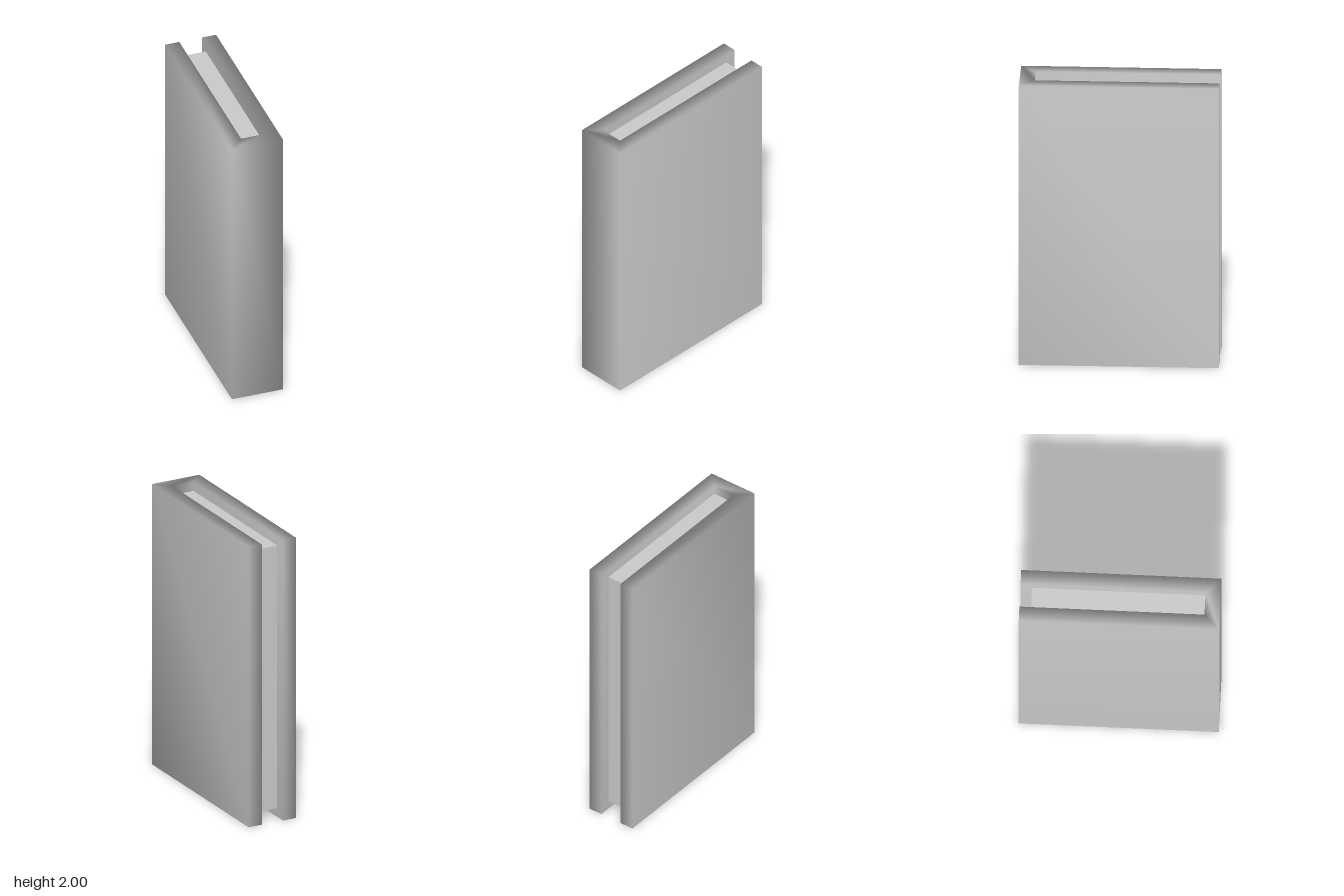
import * as THREE from 'three';
import { mergeVertices } from 'three/addons/utils/BufferGeometryUtils.js';

const W = 0.18, D = 0.667, H = 2;          // cover half width, half depth, height
const T = 0.1;                             // board thickness
const OVERHANG_Z = 0.077, OVERHANG_Y = 0.063;

export function createModel() {
  const book = new THREE.Group();
  book.name = 'book';
  const material = new THREE.MeshStandardMaterial({ color: 0xcccccc });

  // Cover: U-shaped section (two boards and a spine) swept up the height
  const inner = W - T;
  const section = new THREE.Shape([
    [-W, -D], [W, -D], [W, D], [inner, D],
    [inner, -D + T], [-inner, -D + T], [-inner, D], [-W, D],
  ].map(([x, y]) => new THREE.Vector2(x, y)));
  let coverGeometry = new THREE.ExtrudeGeometry(section, { depth: H, bevelEnabled: false });
  coverGeometry.rotateX(-Math.PI / 2);
  // Shared corners give the cover soft, area-weighted shading
  coverGeometry.deleteAttribute('normal');
  coverGeometry.deleteAttribute('uv');
  coverGeometry = mergeVertices(coverGeometry);
  coverGeometry.computeVertexNormals();
  const cover = new THREE.Mesh(coverGeometry, material);
  cover.name = 'cover';
  book.add(cover);

  // Page block: set back from the open edge, top and bottom
  const zBack = -D + OVERHANG_Z, zFront = D - T;
  const pages = new THREE.Mesh(
    new THREE.BoxGeometry(2 * inner, H - 2 * OVERHANG_Y, zFront - zBack), material);
  pages.position.set(0, H / 2, (zFront + zBack) / 2);
  pages.name = 'pages';
  book.add(pages);

  return book;
}
